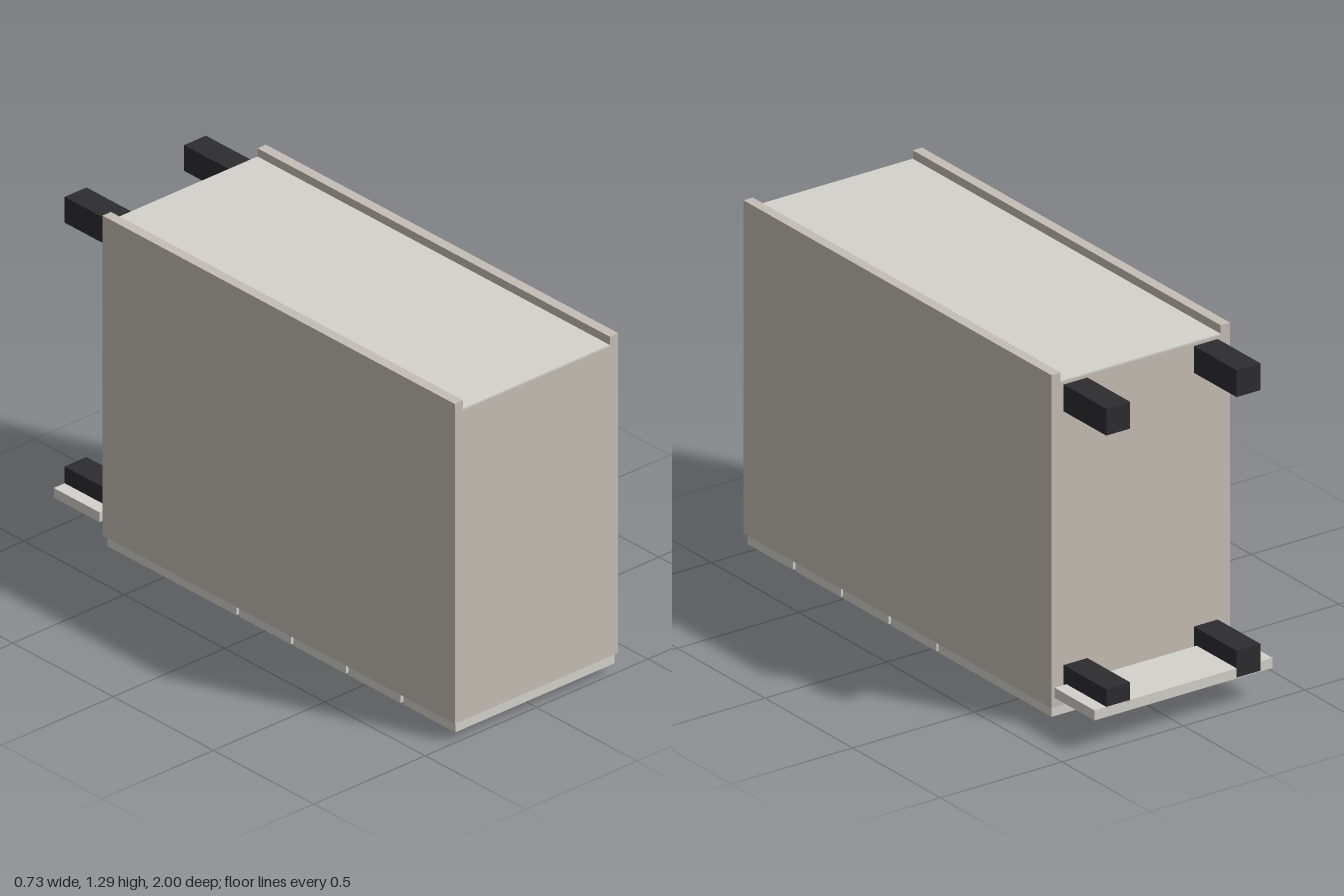
import * as THREE from 'three';

const mat = (color) => new THREE.MeshStandardMaterial({ color });

export function createModel() {
  const model = new THREE.Group();
  model.name = 'drawerCabinet';
  const body = mat(0xc5beb5), panel = mat(0xd3d2cc), metal = mat(0x85858a), dark = mat(0x2d2d30);

  // Box given by its limits on each axis
  const box = (name, material, [x0, x1], [y0, y1], [z0, z1]) => {
    const mesh = new THREE.Mesh(new THREE.BoxGeometry(x1 - x0, y1 - y0, z1 - z0), material);
    mesh.position.set((x0 + x1) / 2, (y0 + y1) / 2, (z0 + z1) / 2);
    mesh.name = name;
    model.add(mesh);
  };

  // Carcass: one profile with the side panels standing proud of the recessed back
  const w = 0.367, inner = 0.329, low = 0.072, high = 1.29, recess = 1.253;
  const profile = new THREE.Shape([
    [-w, low], [w, low], [w, high], [inner, high],
    [inner, recess], [-inner, recess], [-inner, high], [-w, high],
  ].map(([x, y]) => new THREE.Vector2(x, y)));
  const carcass = new THREE.Mesh(
    new THREE.ExtrudeGeometry(profile, { depth: 1.756, bevelEnabled: false }), body);
  carcass.position.z = -0.756;
  carcass.name = 'carcass';
  model.add(carcass);

  // Thin back panel in the recess
  box('backPanel', panel, [-inner, inner], [recess, 1.259], [-0.756, 1]);

  // Drawer fronts with bar handles: [z start, z end, handle z]
  const fronts = [
    [0.733, 0.992, 0.865], [0.459, 0.719, 0.592], [0.186, 0.446, 0.319],
    [-0.086, 0.173, 0.046], [-0.743, -0.099, -0.28],
  ];
  fronts.forEach(([z0, z1, hz], i) => {
    box(`drawerFront${i + 1}`, panel, [-0.357, 0.357], [0.033, low], [z0, z1]);
    box(`handle${i + 1}`, metal, [-0.118, 0.118], [0, 0.033], [hz - 0.014, hz + 0.014]);
  });

  // Four square legs
  for (const x of [-0.268, 0.268])
    for (const y of [0.168, 1.194])
      box('leg', dark, [x - 0.049, x + 0.049], [y - 0.049, y + 0.049], [-1, -0.756]);

  // Plinth board across the front legs
  box('plinth', panel, [-0.366, 0.366], [0.116, 0.153], [-1, -0.772]);

  return model;
}
